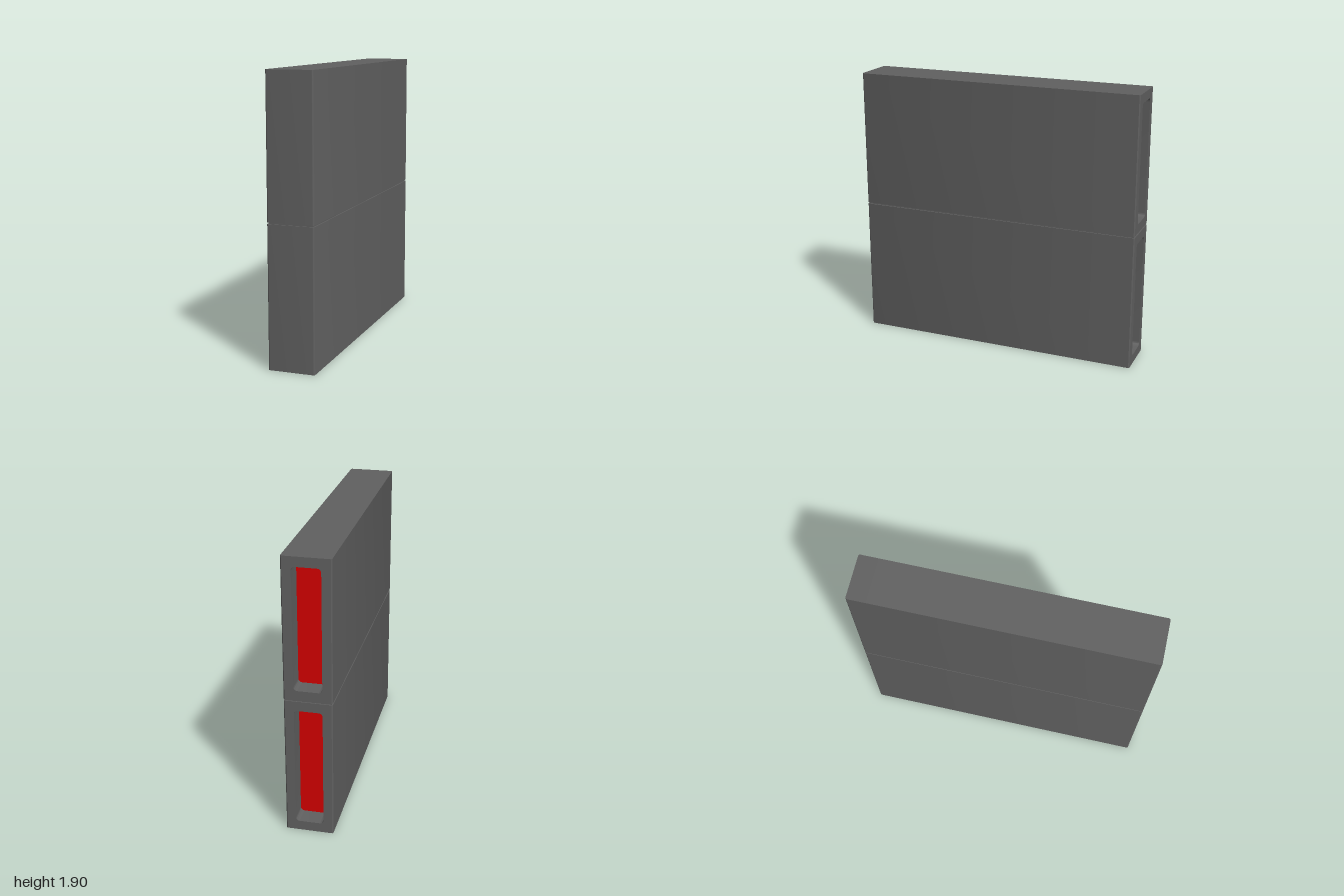
import * as THREE from 'three';
import { toCreasedNormals } from 'three/addons/utils/BufferGeometryUtils.js';

const W = 0.315, H = 0.947, GAP = 0.01; // block width, block height, seam height
const R = 0.01;                         // rounding of the upright edges
const WALL = 0.065, DEPTH = 0.13;       // slot rim and slot depth
const HX = W / 2;

function roundedRect(path, w, h, r, y0) {
  const x = w / 2, y1 = y0 + h;
  path.moveTo(-x + r, y0);
  path.lineTo(x - r, y0);
  path.absarc(x - r, y0 + r, r, -Math.PI / 2, 0);
  path.lineTo(x, y1 - r);
  path.absarc(x - r, y1 - r, r, 0, Math.PI / 2);
  path.lineTo(-x + r, y1);
  path.absarc(-x + r, y1 - r, r, Math.PI / 2, Math.PI);
  path.lineTo(-x, y0 + r);
  path.absarc(-x + r, y0 + r, r, Math.PI, Math.PI * 1.5);
  return path;
}

// Solid part: a footprint with rounded front corners, extruded upwards
function bodyGeometry() {
  const s = new THREE.Shape();
  s.moveTo(-HX + R, -1);
  s.lineTo(HX - R, -1);
  s.absarc(HX - R, -1 + R, R, -Math.PI / 2, 0);
  s.lineTo(HX, 1 - DEPTH);
  s.lineTo(-HX, 1 - DEPTH);
  s.lineTo(-HX, -1 + R);
  s.absarc(-HX + R, -1 + R, R, Math.PI, Math.PI * 1.5);
  const g = new THREE.ExtrudeGeometry(s, { depth: H, bevelEnabled: false, curveSegments: 4 });
  return toCreasedNormals(g.rotateX(-Math.PI / 2), 0.6);
}

// Rim around the slot, its upright back edges chamfered
function rimGeometry() {
  const s = new THREE.Shape();
  s.moveTo(-HX, 0);
  s.lineTo(HX, 0);
  s.lineTo(HX, H);
  s.lineTo(-HX, H);
  s.holes.push(roundedRect(new THREE.Path(), W - 2 * WALL, H - 2 * WALL, 0.025, WALL));
  const g = new THREE.ExtrudeGeometry(s, { depth: DEPTH, steps: 2, bevelEnabled: false, curveSegments: 6 });
  const p = g.attributes.position;
  for (let i = 0; i < p.count; i++) {
    const z = p.getZ(i), x = p.getX(i);
    if (z < 1e-4) {
      if (Math.abs(x) > HX - 1e-4) p.setX(i, x - Math.sign(x) * R * 0.7);
    } else if (z < DEPTH - 1e-4) p.setZ(i, R * 0.7);
  }
  g.translate(0, 0, -1);
  return toCreasedNormals(g, 0.6);
}

export function createModel() {
  const grey = new THREE.MeshStandardMaterial({ color: 0x606060 });
  grey.name = 'dark grey';
  const red = new THREE.MeshStandardMaterial({ color: 0xd40000 });
  red.name = 'red';

  const model = new THREE.Group();
  model.name = 'stackedBlocks';
  const add = (parent, name, geometry, material) => {
    const m = new THREE.Mesh(geometry, material);
    m.name = name;
    parent.add(m);
    return m;
  };

  const body = bodyGeometry(), rim = rimGeometry();
  const panel = new THREE.ExtrudeGeometry(
    roundedRect(new THREE.Shape(), W - 2 * WALL, H - 2 * WALL, 0.025, WALL),
    { depth: 0.005, bevelEnabled: false, curveSegments: 6 });
  panel.translate(0, 0, -1 + DEPTH - 0.005);

  // Two equal blocks, one on top of the other
  ['lowerBlock', 'upperBlock'].forEach((name, i) => {
    const block = new THREE.Group();
    block.name = name;
    block.position.y = i * (H + GAP);
    add(block, 'body', body, grey);
    add(block, 'slotRim', rim, grey);
    add(block, 'slotPanel', panel, red);
    model.add(block);
  });

  // Recessed seam between the blocks
  add(model, 'seam', new THREE.BoxGeometry(W - 0.016, GAP, 2 - 0.016), grey)
    .position.y = H + GAP / 2;

  return model;
}
